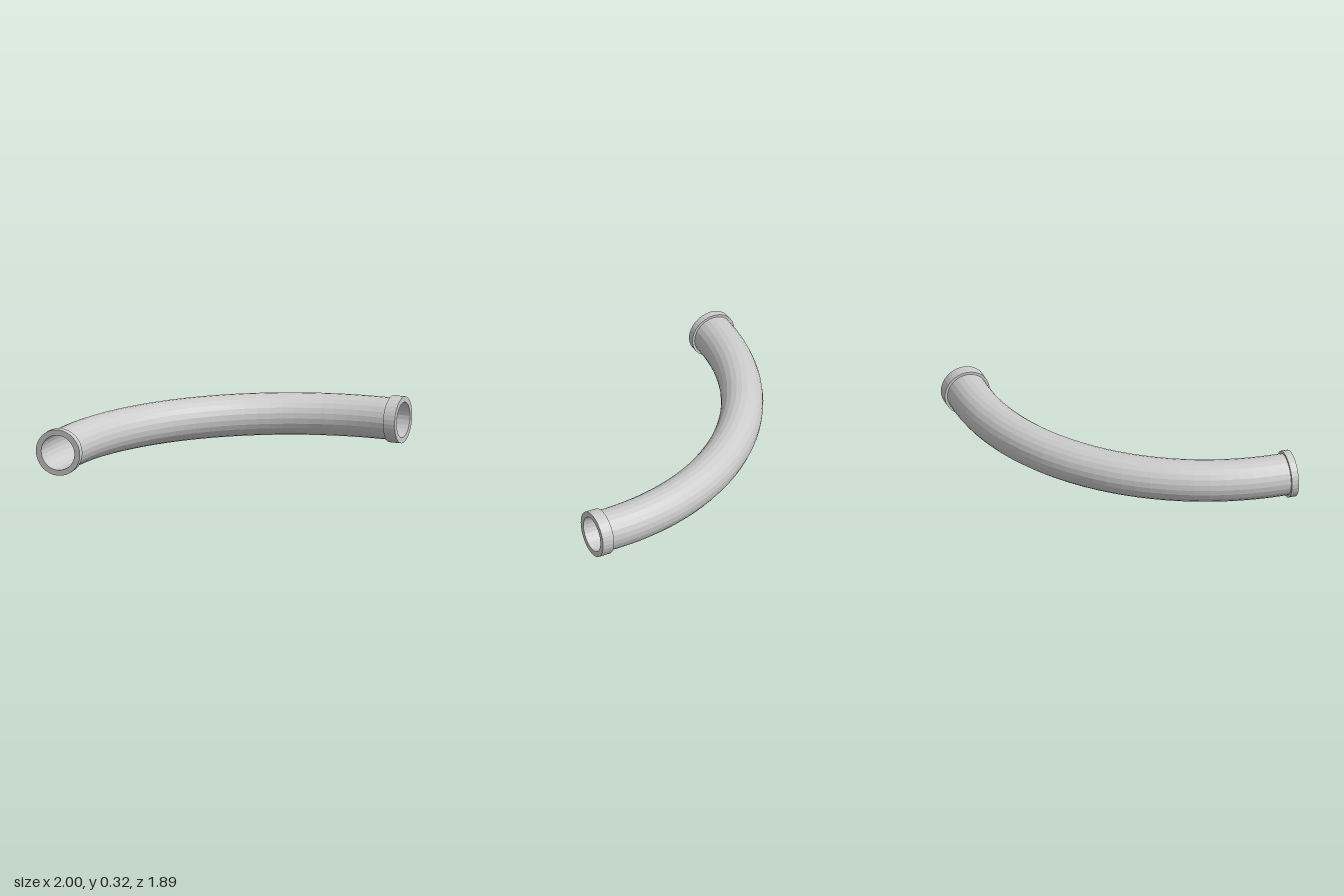
import * as THREE from 'three';

const Y = 0.166, OUTER = 0.144, BORE = 0.122, COLLAR = 0.161;
const SIDES = 24;

export function createModel() {
  const group = new THREE.Group();
  const mat = new THREE.MeshStandardMaterial({ color: 0xcccccc, flatShading: true });
  const innerMat = mat.clone();
  innerMat.side = THREE.DoubleSide;

  // Centre line: a quarter bend with a short straight run at each end
  const R = 1.69, cx = 0.85, cz = 0.905, steps = 24;
  const points = [new THREE.Vector3(cx - R, Y, 0.943)];
  for (let i = 0; i <= steps; i++) {
    const a = (i / steps) * Math.PI / 2;
    points.push(new THREE.Vector3(cx - R * Math.cos(a), Y, cz - R * Math.sin(a)));
  }
  points.push(new THREE.Vector3(0.93, Y, cz - R), new THREE.Vector3(0.998, Y, cz - R));
  const path = new THREE.CatmullRomCurve3(points);

  const add = (name, geometry, material) => {
    const mesh = new THREE.Mesh(geometry, material);
    mesh.name = name;
    group.add(mesh);
    return mesh;
  };

  // Pipe wall: outer skin and hollow bore
  add('pipeOuter', new THREE.TubeGeometry(path, 30, OUTER, SIDES), mat);
  add('pipeBore', new THREE.TubeGeometry(path, 30, BORE, SIDES), innerMat);

  // End collars: flat rings, lathed around y with the open face at y = 0
  const collar = (length) => new THREE.LatheGeometry([
    [BORE, -length], [COLLAR, -length], [COLLAR, 0], [BORE, 0], [BORE, -length],
  ].map(([r, y]) => new THREE.Vector2(r, y)), 32);

  const front = add('frontCollar', collar(0.05), mat);
  front.rotation.x = Math.PI / 2;
  front.position.set(cx - R, Y, 0.945);

  const side = add('sideCollar', collar(0.085), mat);
  side.rotation.z = -Math.PI / 2;
  side.position.set(1, Y, cz - R);

  return group;
}
